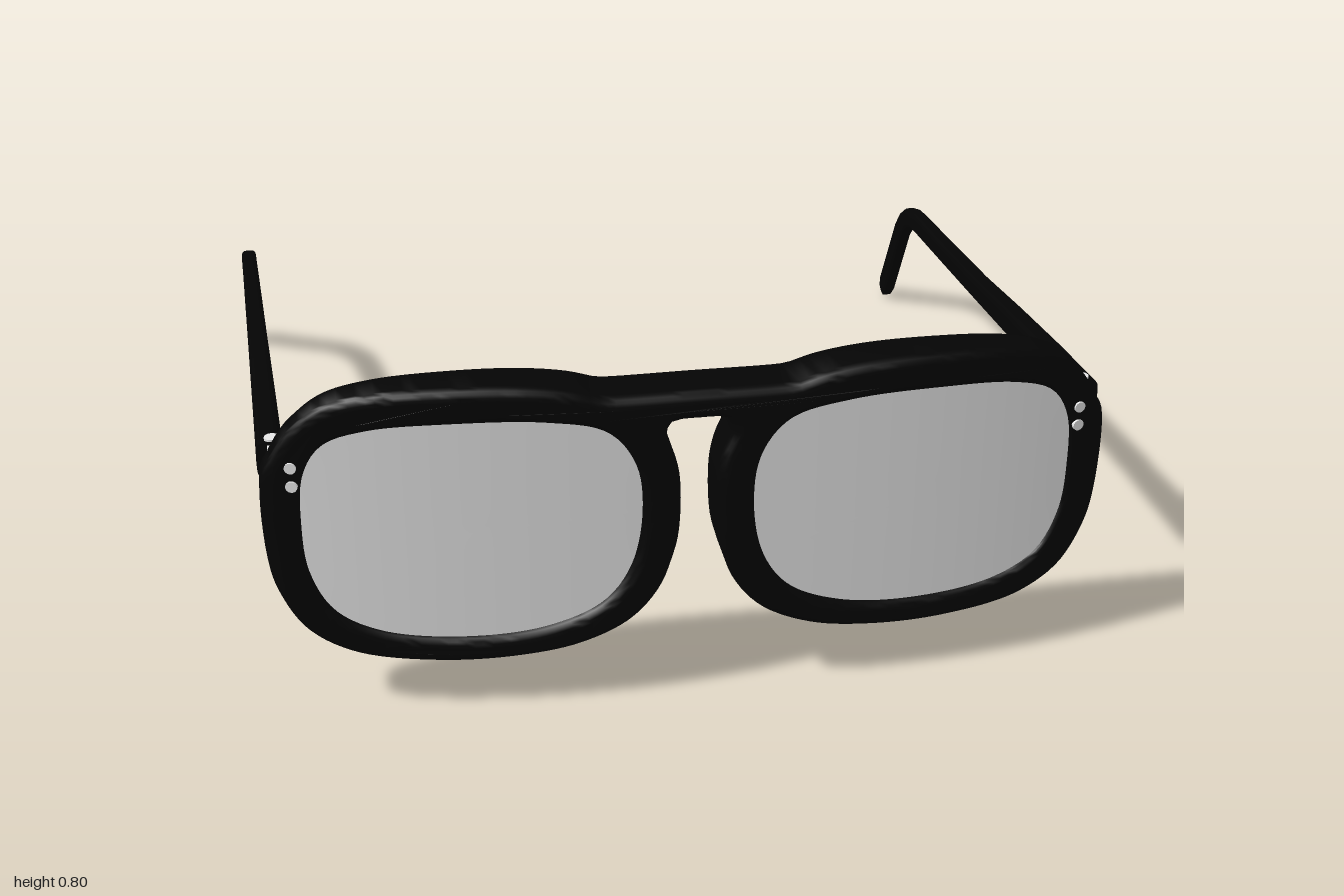
import * as THREE from 'three';
import { toCreasedNormals } from 'three/addons/utils/BufferGeometryUtils.js';

// front surface curves backwards towards the sides; back is flat but for the hinge ends
const frontZ = (x) => 1 - 0.105 * Math.pow(Math.abs(x), 2.8);
const backZ = (x) => 0.864 - 0.011 * THREE.MathUtils.smoothstep(Math.abs(x), 0.84, 0.9);
const bend = (x, t) => THREE.MathUtils.lerp(backZ(x), frontZ(x), t);

// smooth closed outline through a few points
function outline(points, count) {
  const curve = new THREE.CatmullRomCurve3(
    points.map(([x, y]) => new THREE.Vector3(x, y, 0)), true, 'centripetal');
  return curve.getSpacedPoints(count).slice(0, -1).map((p) => new THREE.Vector2(p.x, p.y));
}

// lens opening on the +x side, clockwise
const OPENING = [
  [0.125, 0.48], [0.14, 0.6], [0.2, 0.68], [0.33, 0.713], [0.54, 0.72], [0.71, 0.708],
  [0.8, 0.675], [0.843, 0.606], [0.854, 0.48], [0.843, 0.36], [0.795, 0.266], [0.7, 0.213],
  [0.51, 0.19], [0.33, 0.207], [0.21, 0.26], [0.15, 0.345]];

// outer edge of the frame, +x half, from bridge top round to bridge bottom
const EDGE = [
  [0, 0.765], [0.19, 0.765], [0.21, 0.767], [0.27, 0.785], [0.37, 0.8], [0.52, 0.805], [0.7, 0.795],
  [0.8, 0.768], [0.87, 0.71], [0.915, 0.64], [0.934, 0.6], [0.934, 0.4], [0.915, 0.31],
  [0.86, 0.215], [0.76, 0.155], [0.58, 0.128], [0.4, 0.13], [0.26, 0.153], [0.15, 0.205],
  [0.085, 0.28], [0.055, 0.36], [0.042, 0.42], [0.04, 0.55], [0.052, 0.61], [0.07, 0.66],
  [0.062, 0.693], [0, 0.7]];

const mirrored = (pts) => pts.map(([x, y]) => [-x, y]);

// counter-clockwise opening of either side
const opening = (side, count) =>
  outline(side > 0 ? [...OPENING].reverse() : mirrored(OPENING), count);

function frameGeometry() {
  const otherHalf = mirrored(EDGE.slice(1, -1)).reverse();
  const shape = new THREE.Shape(outline([...EDGE, ...otherHalf], 280));
  for (const side of [1, -1]) shape.holes.push(new THREE.Path(opening(side, 110)));
  const bevel = 0.2;
  const geo = new THREE.ExtrudeGeometry(shape, {
    depth: 1 - 2 * bevel, steps: 1, bevelEnabled: true, bevelThickness: bevel,
    bevelSize: 0.025, bevelOffset: -0.025, bevelSegments: 5 });
  const p = geo.attributes.position;
  for (let i = 0; i < p.count; i++) p.setZ(i, bend(p.getX(i), p.getZ(i) + bevel));
  return toCreasedNormals(geo, 0.7);
}

// curved sheet filling one opening
function lensGeometry(side) {
  const ring = opening(side, 110);
  const rows = 10, cx = side * 0.49, cy = 0.455;
  const geo = new THREE.RingGeometry(0, 1, ring.length, rows);
  const p = geo.attributes.position;
  for (let i = 0; i < p.count; i++) {
    const j = i % (ring.length + 1), r = Math.floor(i / (ring.length + 1)) / rows * 1.012;
    const q = ring[j % ring.length];
    const x = cx + (q.x - cx) * r, y = cy + (q.y - cy) * r;
    p.setXYZ(i, x, y, bend(x, 0.87));
  }
  geo.computeVertexNormals();
  return geo;
}

// tapered arm: [z, y, half height, half width]
const ARM = [
  [0.85, 0.603, 0.045, 0.03], [0.6, 0.572, 0.041, 0.028], [0.3, 0.531, 0.034, 0.026],
  [0, 0.484, 0.029, 0.024], [-0.35, 0.435, 0.028, 0.022], [-0.62, 0.398, 0.028, 0.02],
  [-0.68, 0.387, 0.028, 0.02], [-0.73, 0.369, 0.029, 0.02], [-0.775, 0.338, 0.029, 0.02],
  [-0.815, 0.295, 0.028, 0.02], [-0.89, 0.17, 0.028, 0.02], [-0.96, 0.053, 0.028, 0.02],
  [-0.975, 0.028, 0.024, 0.017], [-0.986, 0.01, 0.012, 0.009]];

function armGeometry(side) {
  const n = 20, pos = [], index = [];
  ARM.forEach(([z, y, h, w], i) => {
    const a = ARM[Math.max(i - 1, 0)], b = ARM[Math.min(i + 1, ARM.length - 1)];
    // front end is cut square
    const t = i === 0 ? new THREE.Vector2(-1, 0) : new THREE.Vector2(b[0] - a[0], b[1] - a[1]).normalize();
    const cx = 0.912 + (0.83 - z) * 0.0325;
    for (let j = 0; j < n; j++) {
      const ang = side * j / n * Math.PI * 2, c = Math.cos(ang), s = Math.sin(ang);
      const u = Math.sign(c) * Math.sqrt(Math.abs(c)) * w;
      const v = Math.sign(s) * Math.sqrt(Math.abs(s)) * h;
      pos.push(side * (cx + u), y - t.x * v, z + t.y * v);
    }
  });
  const last = (ARM.length - 1) * n;
  for (let j = 0; j < n; j++) {
    const k = (j + 1) % n;
    for (let r = 0; r < last; r += n) {
      index.push(r + j, r + n + j, r + k, r + k, r + n + j, r + n + k);
    }
    if (j > 0 && k > 0) index.push(0, j, k, last, last + k, last + j);
  }
  const geo = new THREE.BufferGeometry();
  geo.setAttribute('position', new THREE.Float32BufferAttribute(pos, 3));
  geo.setIndex(index);
  return toCreasedNormals(geo, 0.75);
}

export function createModel() {
  const black = new THREE.MeshStandardMaterial({ color: 0x040404 });
  black.name = 'blackAcetate';
  const glass = new THREE.MeshStandardMaterial({ color: 0xe2e2e2, side: THREE.DoubleSide });
  glass.name = 'greyLens';
  const silver = new THREE.MeshStandardMaterial({ color: 0xf0f0f0 });
  silver.name = 'silverMetal';

  const model = new THREE.Group();
  model.name = 'glasses';
  const add = (name, geo, mat, x = 0, y = 0, z = 0) => {
    const mesh = new THREE.Mesh(geo, mat);
    mesh.name = name;
    mesh.position.set(x, y, z);
    model.add(mesh);
    return mesh;
  };

  add('frame', frameGeometry(), black);
  for (const side of [1, -1]) {
    const label = side > 0 ? 'left' : 'right';
    add(label + 'Lens', lensGeometry(side), glass);
    add(label + 'Arm', armGeometry(side), black);
    // hinge pin and the leaf joining arm to frame
    add(label + 'HingePin', new THREE.CylinderGeometry(0.016, 0.016, 0.1, 16), silver, side * 0.906, 0.602, 0.833);
    add(label + 'HingeLeaf', new THREE.BoxGeometry(0.02, 0.05, 0.04), silver, side * 0.906, 0.615, 0.852);
    // pair of rivets on the front
    for (const y of [0.58, 0.625]) {
      const rivet = add(label + 'Rivet', new THREE.CylinderGeometry(0.013, 0.013, 0.008, 16), silver,
        side * 0.87, y, frontZ(0.87));
      rivet.rotation.set(Math.PI / 2, 0, -side * 0.23);
    }
  }
  return model;
}
